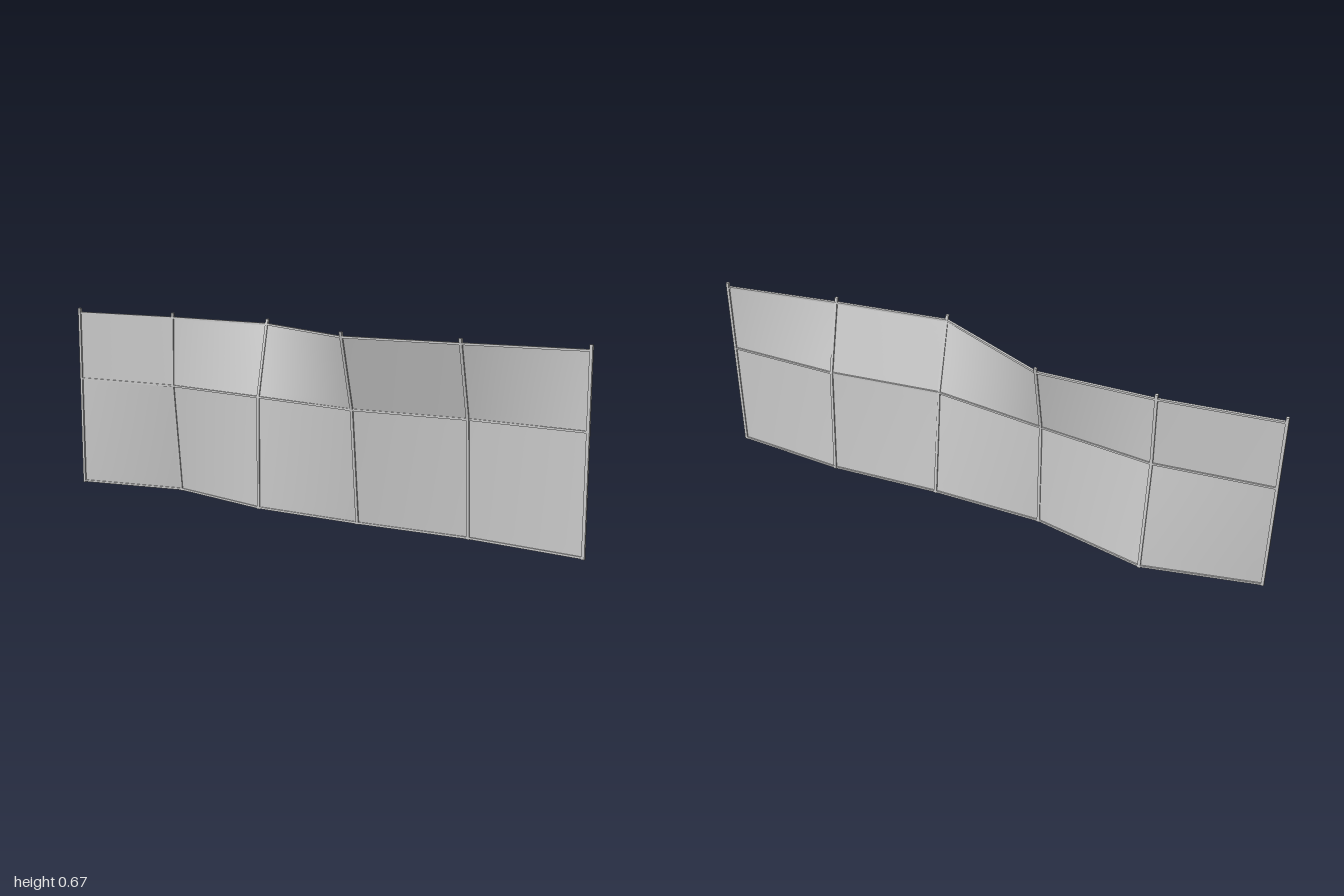
import * as THREE from 'three';

// Depth (z) of every post at the bottom, middle and top rail
const postX = [-0.995, -0.597, -0.199, 0.199, 0.597, 0.995];
const levels = [0.005, 0.4, 0.649];
const depth = [
  [-0.017, -0.100, -0.017, -0.018, -0.041, -0.017],
  [-0.017, -0.057, -0.018, 0.027, -0.018, -0.017],
  [-0.017, -0.062, -0.075, 0.098, 0.046, -0.017],
];
const postTop = 0.667;
const lerp = THREE.MathUtils.lerp;

function createMaterial(flatShading) {
  return new THREE.MeshStandardMaterial({ color: 0xcccccc, flatShading, side: THREE.DoubleSide });
}

// Depth of post i at height y; the upper slope continues to the post's tip
function postDepth(i, y) {
  const k = y < levels[1] ? 0 : 1;
  const t = (y - levels[k]) / (levels[k + 1] - levels[k]);
  return lerp(depth[k][i], depth[k + 1][i], t);
}

// Move every vertex of a geometry by a rule
function reshape(geometry, rule) {
  const p = geometry.attributes.position;
  const v = new THREE.Vector3();
  for (let n = 0; n < p.count; n++) {
    rule(v.fromBufferAttribute(p, n));
    p.setXYZ(n, v.x, v.y, v.z);
  }
  geometry.computeVertexNormals();
  return geometry;
}

// Square post, kinked where it meets the middle rail
function postGeometry(i) {
  const heights = [0, levels[1], postTop];
  return reshape(new THREE.BoxGeometry(0.01, 2, 0.01, 1, 2, 1), (v) => {
    v.x += postX[i];
    v.y = heights[Math.round(v.y + 1)];
    v.z += postDepth(i, v.y);
  });
}

// Rail running through all the posts at one level
function railGeometry(level) {
  return reshape(new THREE.BoxGeometry(5, 0.007, 0.009, 5, 1, 1), (v) => {
    const i = Math.round(v.x + 2.5);
    v.x = postX[i];
    v.y += levels[level];
    v.z += depth[level][i];
  });
}

// Twisted sheet spanning two posts and two rails
function panelGeometry(i, level) {
  return reshape(new THREE.PlaneGeometry(1, 1, 10, 10), (v) => {
    const s = v.x + 0.5;
    const y = lerp(levels[level], levels[level + 1], v.y + 0.5);
    v.set(lerp(postX[i], postX[i + 1], s), y, lerp(postDepth(i, y), postDepth(i + 1, y), s));
  });
}

export function createModel() {
  const model = new THREE.Group();
  model.name = 'twistedFence';
  const frame = createMaterial(true);
  const sheet = createMaterial(false);
  const add = (name, geometry, material) => {
    const mesh = new THREE.Mesh(geometry, material);
    mesh.name = name;
    model.add(mesh);
  };

  postX.forEach((x, i) => add(`post${i + 1}`, postGeometry(i), frame));
  ['bottomRail', 'middleRail', 'topRail'].forEach((name, level) => add(name, railGeometry(level), frame));
  ['lowerPanel', 'upperPanel'].forEach((name, level) => {
    for (let i = 0; i < postX.length - 1; i++) add(`${name}${i + 1}`, panelGeometry(i, level), sheet);
  });
  return model;
}
